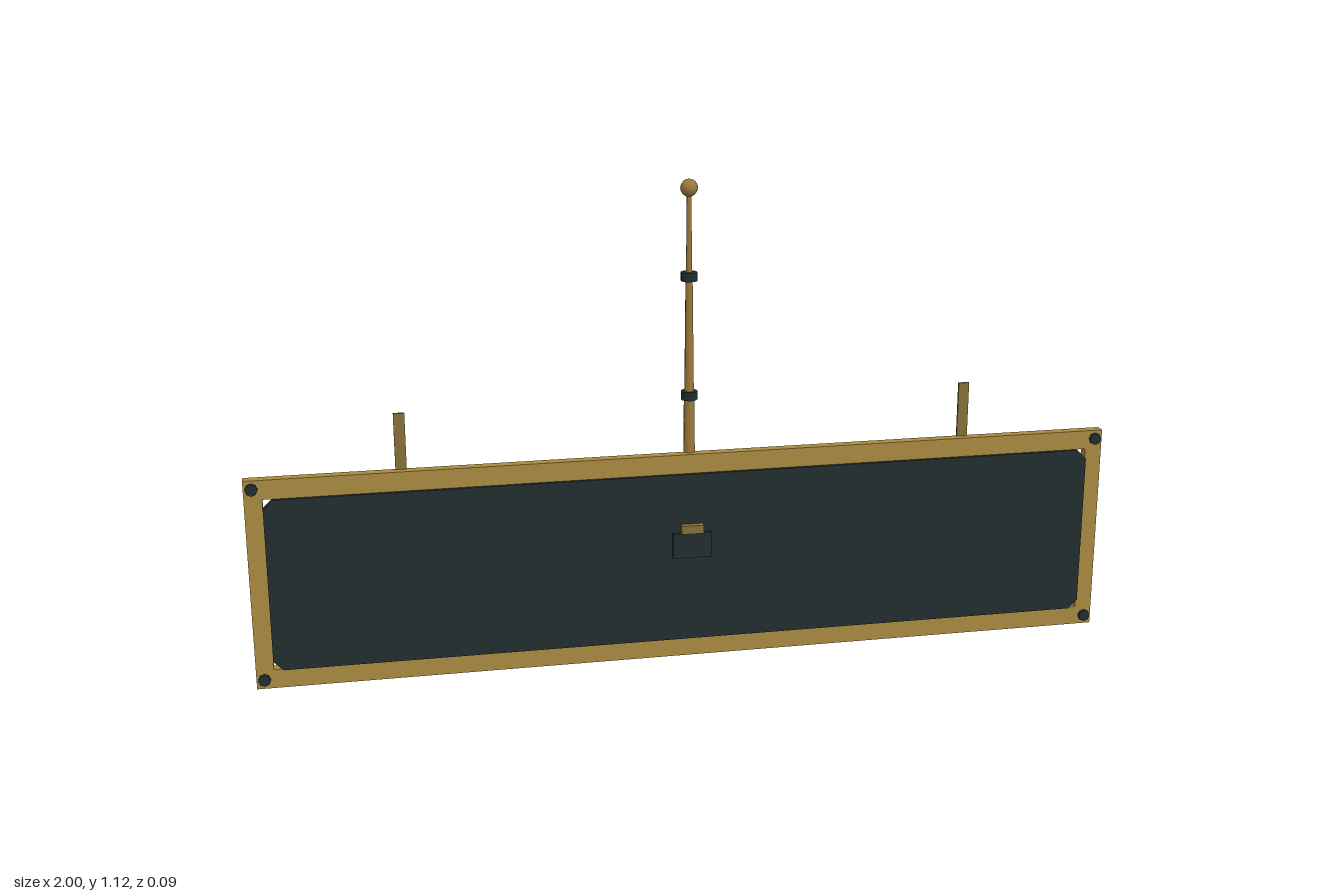
import * as THREE from 'three';

export function createModel() {
  const model = new THREE.Group();
  const mat = (name, color) => {
    const m = new THREE.MeshStandardMaterial({ color });
    m.name = name;
    return m;
  };
  const gold = mat('frame gold', 0xa98a40);
  const brass = mat('pole brass', 0x9c7a3a);
  const bronze = mat('bracket bronze', 0x857138);
  const slate = mat('dark slate', 0x222e2f);

  const add = (name, geometry, material, x = 0, y = 0, z = 0) => {
    const mesh = new THREE.Mesh(geometry, material);
    mesh.name = name;
    mesh.position.set(x, y, z);
    model.add(mesh);
    return mesh;
  };
  const extrude = (shape, depth) =>
    new THREE.ExtrudeGeometry(shape, { depth, bevelEnabled: false, curveSegments: 6 });
  const polygon = (Type, points) => new Type(points.map(([x, y]) => new THREE.Vector2(x, y)));

  // Rectangular frame with an open middle
  const frame = polygon(THREE.Shape, [[-1, 0], [1, 0], [1, 0.495], [-1, 0.495]]);
  frame.holes.push(polygon(THREE.Path, [[-0.96, 0.045], [-0.96, 0.45], [0.96, 0.45], [0.96, 0.045]]));
  add('frame', extrude(frame, 0.024), gold);

  // Sign panel with clipped corners
  const w = 0.96, lo = 0.045, hi = 0.45, c = 0.022;
  const panel = polygon(THREE.Shape, [
    [-w + c, lo], [w - c, lo], [w, lo + c], [w, hi - c],
    [w - c, hi], [-w + c, hi], [-w, hi - c], [-w, lo + c],
  ]);
  add('panel', extrude(panel, 0.016), slate, 0, 0, 0.016);

  // Shield-shaped backing plate
  const shield = new THREE.Shape();
  shield.moveTo(-0.135, 0.365);
  shield.quadraticCurveTo(-0.04, 0.27, -0.03, 0.15);
  shield.quadraticCurveTo(0, 0.08, 0.03, 0.15);
  shield.quadraticCurveTo(0.04, 0.27, 0.135, 0.365);
  shield.quadraticCurveTo(0, 0.385, -0.135, 0.365);
  add('backingShield', extrude(shield, 0.006), slate, 0, 0, 0.011);

  // Corner bolts and hanging straps
  for (const side of [-1, 1]) {
    for (const y of [0.022, 0.475]) {
      const bolt = add('cornerBolt', new THREE.CylinderGeometry(0.014, 0.014, 0.01, 8), slate, side * 0.982, y, 0.027);
      bolt.rotation.x = Math.PI / 2;
    }
    add('hangerStrap', new THREE.BoxGeometry(0.025, 0.135, 0.006), bronze, side * 0.655, 0.5575, 0.003);
  }

  // Mounting block and cap
  add('mountBlock', new THREE.BoxGeometry(0.09, 0.06, 0.082), slate, 0, 0.28, 0);
  add('mountCap', new THREE.BoxGeometry(0.052, 0.02, 0.092), bronze, 0, 0.32, 0);

  // Stepped pole: [bottom y, top y, bottom radius, top radius]
  const sections = [
    [0.33, 0.37, 0.0165, 0.0165],
    [0.37, 0.63, 0.0145, 0.012],
    [0.63, 0.91, 0.011, 0.008],
    [0.91, 1.1, 0.007, 0.005],
  ];
  for (const [y0, y1, r0, r1] of sections) {
    add('poleSection', new THREE.CylinderGeometry(r1, r0, y1 - y0, 10), brass, 0, (y0 + y1) / 2, 0);
  }
  for (const y of [0.63, 0.905]) {
    add('poleRing', new THREE.CylinderGeometry(0.019, 0.019, 0.02, 10), slate, 0, y, 0);
  }
  add('finial', new THREE.SphereGeometry(0.02, 10, 8), brass, 0, 1.104, 0);

  return model;
}
